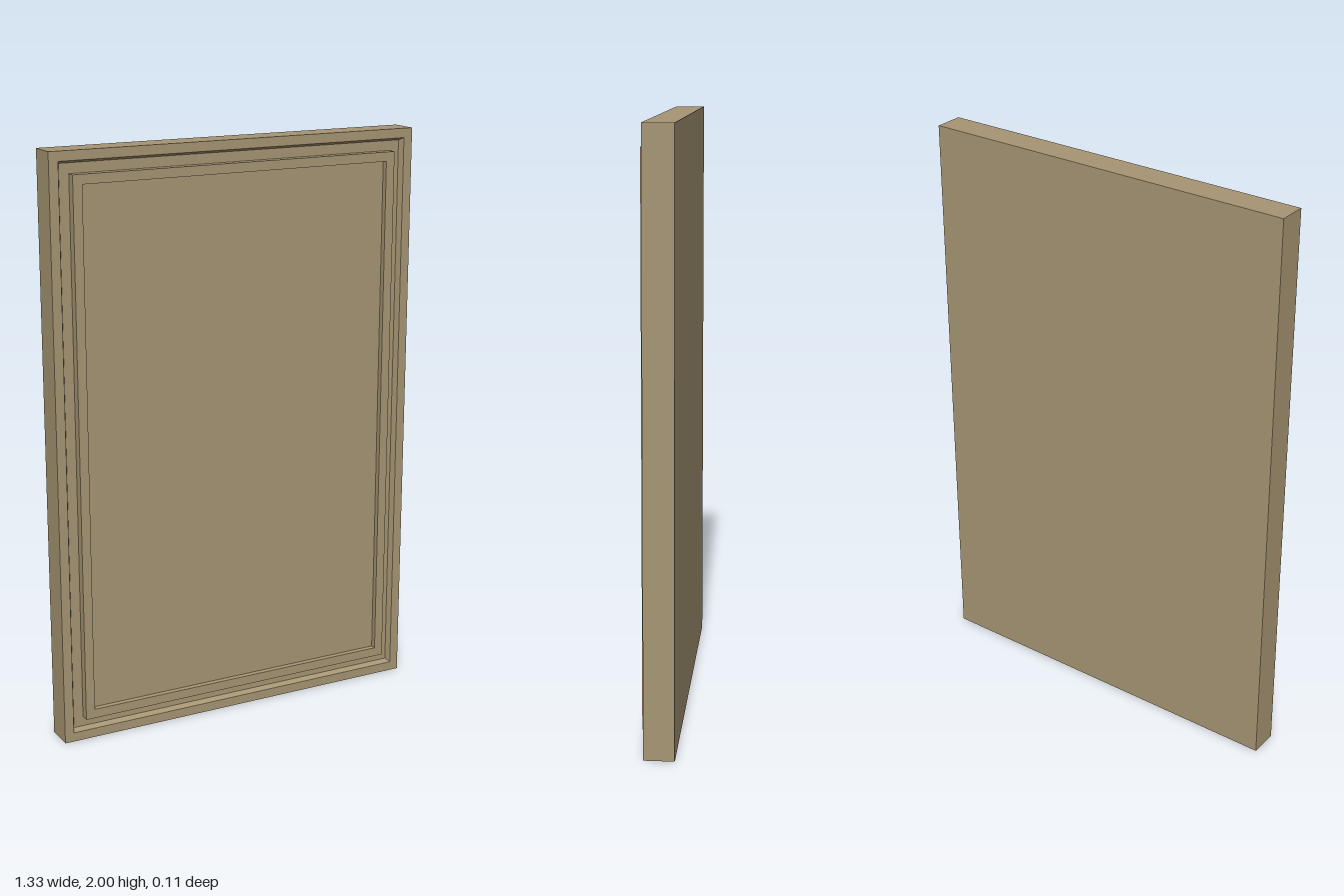
import * as THREE from 'three';

const W = 1.333, H = 2;
const BACK = -0.055, FACE = 0.045, FLOOR = 0.025, TOP = 0.055, PANEL = 0.035;
const material = new THREE.MeshStandardMaterial({ color: 0xa69573, flatShading: true });

// Mitred rectangular ring: a closed profile of [inset, z] swept round the four corners
function mitredRing(name, profile) {
  const corners = [[-1, -1], [1, -1], [1, 1], [-1, 1]];
  const point = ([sx, sy], [inset, z]) => [sx * (W / 2 - inset), H / 2 + sy * (H / 2 - inset), z];
  const positions = [];
  for (let c = 0; c < 4; c++) {
    const from = corners[c], to = corners[(c + 1) % 4];
    for (let p = 0; p < profile.length; p++) {
      const a = profile[p], b = profile[(p + 1) % profile.length];
      const q = [point(from, a), point(to, a), point(to, b), point(from, b)];
      for (const i of [0, 1, 2, 0, 2, 3]) positions.push(...q[i]);
    }
  }
  const geometry = new THREE.BufferGeometry();
  geometry.setAttribute('position', new THREE.Float32BufferAttribute(positions, 3));
  geometry.computeVertexNormals();
  const mesh = new THREE.Mesh(geometry, material);
  mesh.name = name;
  return mesh;
}

// Flat board, inset from the outer edge, between two depths
function board(name, inset, z0, z1) {
  const mesh = new THREE.Mesh(new THREE.BoxGeometry(W - 2 * inset, H - 2 * inset, z1 - z0), material);
  mesh.position.set(0, H / 2, (z0 + z1) / 2);
  mesh.name = name;
  return mesh;
}

export function createModel() {
  const group = new THREE.Group();
  group.name = 'framedPanel';

  // Solid slab whose front is the floor of the groove
  group.add(board('backBoard', 0, BACK, FLOOR));

  // Outer rim with a bevelled inner edge
  group.add(mitredRing('outerFrame', [[0, BACK], [0, FACE], [0.032, FACE], [0.041, FLOOR], [0.041, BACK]]));
  group.children[0].scale.set(0.97, 0.97, 1);
  group.children[0].position.y = H / 2;

  // Raised moulding standing proud of the rim
  group.add(mitredRing('raisedMoulding', [[0.075, FLOOR], [0.075, TOP], [0.107, TOP], [0.107, FLOOR]]));

  // Centre panel sunk inside the moulding
  group.add(board('centrePanel', 0.107, FLOOR - 0.01, PANEL));

  // Plain back sheet closing the rim
  const sheet = new THREE.Mesh(new THREE.PlaneGeometry(W, H), material);
  sheet.name = 'backSheet';
  sheet.rotation.y = Math.PI;
  sheet.position.set(0, H / 2, BACK - 0.0005);
  group.add(sheet);

  return group;
}
